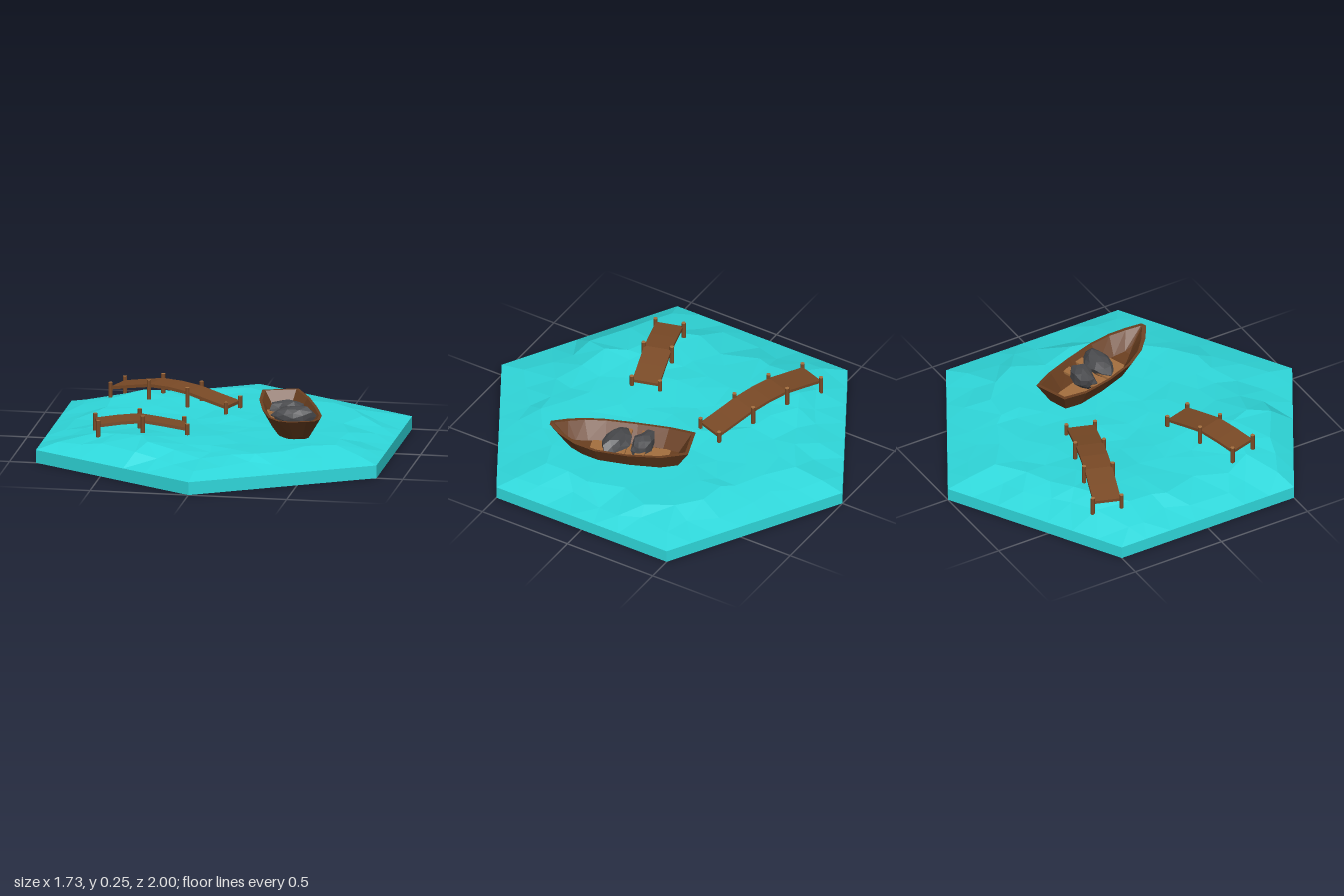
import * as THREE from 'three';

const material = (color, side = THREE.FrontSide) =>
  new THREE.MeshStandardMaterial({ color, side, flatShading: true });
const water = material(0x2fd9dc);
const wood = material(0x7a4a26);
const hullWood = material(0x6a3f20, THREE.DoubleSide);
const lightWood = material(0xa5703f);
const stone = material(0x4a4b4e);

function addMesh(parent, name, geometry, mat) {
  const mesh = new THREE.Mesh(geometry, mat);
  mesh.name = name;
  parent.add(mesh);
  return mesh;
}

// Repeatable pseudo random value in -1..1 for a pair of numbers
function noise(a, b) {
  const v = Math.sin(a * 127.1 + b * 311.7) * 43758.5453;
  return (v - Math.floor(v)) * 2 - 1;
}

function indexed(points, index) {
  const g = new THREE.BufferGeometry();
  g.setAttribute('position', new THREE.Float32BufferAttribute(points.flat(), 3));
  g.setIndex(index);
  g.computeVertexNormals();
  return g;
}

const BASE = 0.066;

// Swells and dips of the water: x, z, height, radius
const swells = [
  [-0.4, 0.55, 0.045, 0.25],
  [-0.48, -0.4, 0.028, 0.24],
  [0.0, 0.68, -0.014, 0.14],
  [0.3, 0.57, 0.008, 0.12],
];

// Hexagonal triangle grid: jittered inside, straight on the rim
function waterSurface() {
  const n = 7, points = [], index = [], ids = new Map();
  for (let a = -n; a <= n; a++) {
    for (let b = -n; b <= n; b++) {
      if (Math.abs(a + b) > n) continue;
      const d = Math.max(Math.abs(a), Math.abs(b), Math.abs(a + b)) / n;
      const jitter = d < 1 ? 0.045 : 0;
      const x = (b / n) * 0.866 + jitter * noise(a, b);
      const z = (a + b / 2) / n + jitter * noise(b + 20, a);
      let y = BASE + 0.055 * Math.min(1, (1 - d) / 0.28);
      if (d < 1) {
        for (const [sx, sz, h, r] of swells) {
          y += h * Math.exp(-((x - sx) ** 2 + (z - sz) ** 2) / (r * r));
        }
        y += 0.006 * noise(a + 7, b - 3);
        // Keep calm water below the boat
        if (Math.hypot(x - 0.35, (z - 0.05) * 0.7) < 0.28) y = Math.min(y, 0.12);
      }
      ids.set(a + ',' + b, points.length);
      points.push([x, y, z]);
    }
  }
  const id = (a, b) => ids.get(a + ',' + b);
  for (let a = -n; a <= n; a++) {
    for (let b = -n; b <= n; b++) {
      const p = id(a, b), q = id(a + 1, b), r = id(a, b + 1), s = id(a + 1, b + 1);
      if (q === undefined || r === undefined) continue;
      if (p !== undefined) index.push(p, q, r);
      if (s !== undefined) index.push(q, s, r);
    }
  }
  return indexed(points, index);
}

// Jetty: a deck bent over its pairs of posts, heights given per pair
function jetty(name, from, to, heights) {
  const group = new THREE.Group();
  group.name = name;
  const dx = to[0] - from[0], dz = to[1] - from[1];
  const length = Math.hypot(dx, dz), spans = heights.length - 1;
  const deck = new THREE.BoxGeometry(length, 0.016, 0.14, spans * 2, 1, 1);
  const curve = new THREE.SplineCurve(
    heights.map((h, i) => new THREE.Vector2((i / spans - 0.5) * length, h)));
  const pos = deck.attributes.position;
  for (let i = 0; i < pos.count; i++) {
    const t = THREE.MathUtils.clamp(pos.getX(i) / length + 0.5, 0, 1);
    pos.setY(i, pos.getY(i) + curve.getPoint(t).y);
  }
  deck.computeVertexNormals();
  addMesh(group, 'jettyDeck', deck, wood);
  heights.forEach((h, i) => {
    for (const side of [-1, 1]) {
      const post = addMesh(group, 'jettyPost',
        new THREE.CylinderGeometry(0.011, 0.011, 0.1, 8), [wood, lightWood, wood]);
      post.position.set((i / spans - 0.5) * length, h - 0.02, side * 0.073);
    }
  });
  group.position.set((from[0] + to[0]) / 2, 0, (from[1] + to[1]) / 2);
  group.rotation.y = -Math.atan2(dz, dx);
  return group;
}

// Hull stations: rim z, rim half width, rim y, floor z, floor half width, floor y
const stations = [
  [-0.35, 0.092, 0.238, -0.29, 0.05, 0.128],
  [-0.22, 0.128, 0.222, -0.2, 0.075, 0.118],
  [-0.05, 0.14, 0.214, -0.05, 0.085, 0.116],
  [0.12, 0.135, 0.215, 0.11, 0.08, 0.117],
  [0.23, 0.108, 0.224, 0.2, 0.055, 0.124],
  [0.31, 0.066, 0.236, 0.26, 0.03, 0.135],
  [0.375, 0.015, 0.252, 0.3, 0.008, 0.155],
];

// Outer skin, inner skin and the rim between them
function hull() {
  const points = [], index = [], n = stations.length;
  const quad = (a, b, c, d) => index.push(a, b, c, a, c, d);
  for (const inner of [0, 1]) {
    const k = inner ? 0.95 : 1, inset = inner ? 0.014 : 0;
    const base = points.length;
    for (const [rz, rw, ry, fz, fw, fy] of stations) {
      const w = Math.max(rw - inset, 0.004), f = Math.max(fw - inset, 0.003);
      points.push([-w, ry, rz * k], [-f, fy + inset, fz * k],
        [f, fy + inset, fz * k], [w, ry, rz * k]);
    }
    for (let i = 0; i < n - 1; i++) {
      for (let j = 0; j < 3; j++) {
        const p = base + i * 4 + j;
        if (inner) quad(p, p + 4, p + 5, p + 1);
        else quad(p, p + 1, p + 5, p + 4);
      }
    }
    const e = base + (n - 1) * 4;
    if (inner) {
      quad(base, base + 1, base + 2, base + 3);
      quad(e + 3, e + 2, e + 1, e);
    } else {
      quad(base + 3, base + 2, base + 1, base);
      quad(e, e + 1, e + 2, e + 3);
    }
  }
  const m = n * 4;
  for (let i = 0; i < n - 1; i++) {
    const l = i * 4, r = l + 3;
    quad(l, l + 4, m + l + 4, m + l);
    quad(r, m + r, m + r + 4, r + 4);
  }
  quad(0, m, m + 3, 3);
  quad(m - 4, m - 1, 2 * m - 1, 2 * m - 4);
  return indexed(points, index);
}

function rock(seed) {
  const g = new THREE.IcosahedronGeometry(1, 1);
  const pos = g.attributes.position, v = new THREE.Vector3();
  for (let i = 0; i < pos.count; i++) {
    v.fromBufferAttribute(pos, i);
    const key = Math.round(v.x * 50) + Math.round(v.y * 50) * 3;
    v.multiplyScalar(1 + 0.14 * noise(key, Math.round(v.z * 50) + seed));
    pos.setXYZ(i, v.x, v.y, v.z);
  }
  g.computeVertexNormals();
  return g;
}

function boat() {
  const group = new THREE.Group();
  group.name = 'boat';
  addMesh(group, 'hull', hull(), hullWood);
  const floor = addMesh(group, 'floorBoards', new THREE.BoxGeometry(0.11, 0.006, 0.42), lightWood);
  floor.position.set(0, 0.134, -0.04);
  for (const z of [-0.1, 0.0]) {
    const seat = addMesh(group, 'seat', new THREE.BoxGeometry(0.225, 0.012, 0.05), lightWood);
    seat.position.set(0, 0.187, z);
  }
  // Heaped cargo of two rocks
  [[0, -0.1, 0.095, 0.052, 1], [0.01, 0.035, 0.108, 0.07, 5]].forEach(([x, z, w, d, seed]) => {
    const cargo = addMesh(group, 'rock', rock(seed), stone);
    cargo.scale.set(w, 0.052, d);
    cargo.position.set(x, 0.198, z);
    cargo.rotation.y = -0.3;
  });
  group.position.set(0.355, 0, 0.067);
  group.rotation.y = 0.337;
  return group;
}

export function createModel() {
  const model = new THREE.Group();
  model.name = 'harbourTile';
  const base = addMesh(model, 'waterBase', new THREE.CylinderGeometry(1, 1, BASE, 6), water);
  base.position.y = BASE / 2;
  addMesh(model, 'waterSurface', waterSurface(), water);
  model.add(jetty('backJetty', [-0.62, -0.44], [0.005, -0.225], [0.175, 0.215, 0.203, 0.155]));
  model.add(jetty('frontJetty', [-0.58, 0.37], [-0.15, 0.245], [0.188, 0.205, 0.158]));
  model.add(boat());
  return model;
}
